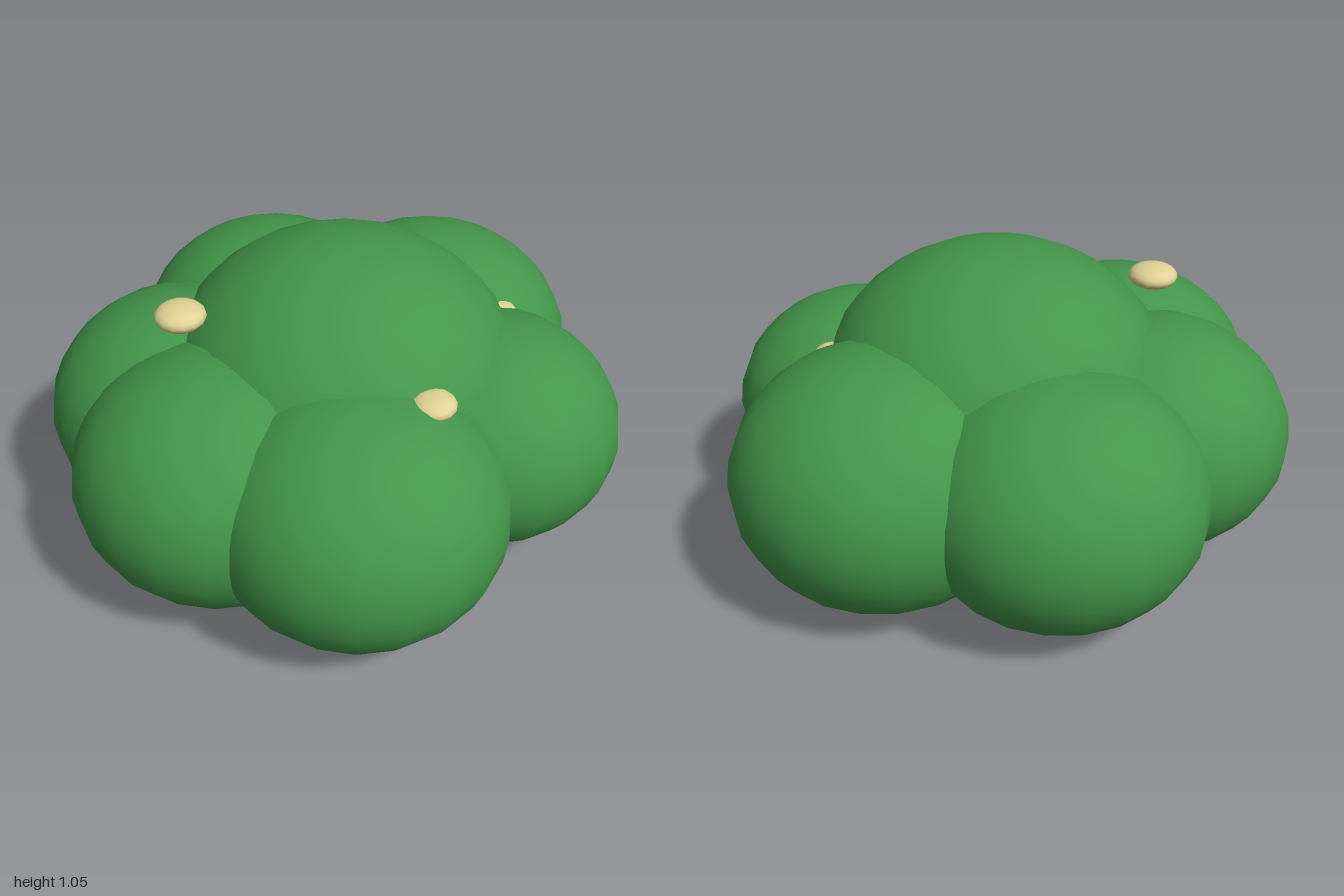
import * as THREE from 'three';

export function createModel() {
  const bush = new THREE.Group();
  bush.name = 'bush';

  const leafGreen = new THREE.MeshStandardMaterial({ color: 0x43964a });
  leafGreen.name = 'leaf green';
  const creamYellow = new THREE.MeshStandardMaterial({ color: 0xe0d294 });
  creamYellow.name = 'cream yellow';

  const leafBall = new THREE.SphereGeometry(1, 20, 14);
  const flowerBall = new THREE.SphereGeometry(1, 14, 10);

  // Places a squashed ball with a horizontal radius and a height ratio
  function addBall(name, geometry, material, [x, y, z], radius, squash) {
    const mesh = new THREE.Mesh(geometry, material);
    mesh.name = name;
    mesh.position.set(x, y, z);
    mesh.scale.set(radius, radius * squash, radius);
    bush.add(mesh);
  }

  // Foliage: a tall centre clump ringed by six lower ones
  const clumps = [
    ['centreClump', [-0.01, 0.54, 0.03], 0.6],
    ['leftClump', [0.5, 0.425, 0.04], 0.5],
    ['frontLeftClump', [0.2, 0.425, 0.485], 0.44],
    ['frontRightClump', [-0.4, 0.425, 0.38], 0.48],
    ['rightClump', [-0.52, 0.425, -0.08], 0.48],
    ['backRightClump', [-0.32, 0.425, -0.41], 0.46],
    ['backLeftClump', [0.2, 0.425, -0.45], 0.48],
  ];
  for (const [name, position, radius] of clumps) {
    addBall(name, leafBall, leafGreen, position, radius, 0.85);
  }

  // Flowers: small flattened buds on the foliage
  const flowers = [
    ['backFlower', [-0.455, 0.907, -0.27], 0.083],
    ['frontFlower', [-0.218, 0.782, 0.522], 0.073],
    ['leftFlower', [0.415, 0.706, 0.36], 0.075],
  ];
  for (const [name, position, radius] of flowers) {
    addBall(name, flowerBall, creamYellow, position, radius, 0.48);
  }

  return bush;
}
